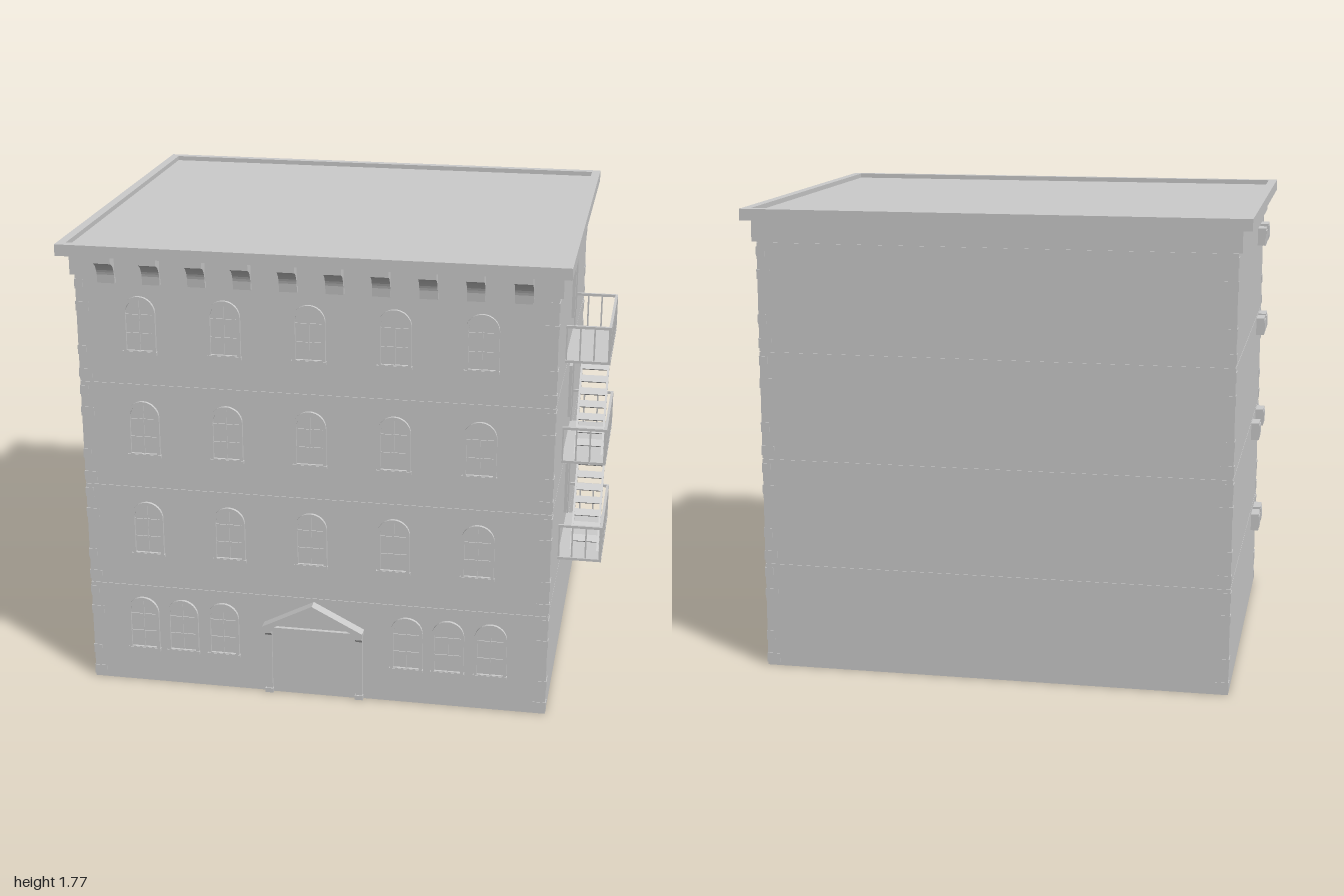
import * as THREE from 'three';

const mat = new THREE.MeshStandardMaterial({ color: 0xcccccc, side: THREE.DoubleSide });
const X0 = -0.95, X1 = 0.83, Z0 = -0.74, Z1 = 0.73;

function add(parent, name, geo) {
  const m = new THREE.Mesh(geo, mat);
  m.name = name;
  parent.add(m);
  return m;
}

// Box given by its two extreme corners
function box(parent, name, x0, x1, y0, y1, z0, z1) {
  const m = add(parent, name, new THREE.BoxGeometry(x1 - x0, y1 - y0, z1 - z0));
  m.position.set((x0 + x1) / 2, (y0 + y1) / 2, (z0 + z1) / 2);
  return m;
}

function group(parent, name, x = 0, y = 0, z = 0) {
  const g = new THREE.Group();
  g.name = name;
  g.position.set(x, y, z);
  parent.add(g);
  return g;
}

const polygon = pts => new THREE.Shape(pts.map(p => new THREE.Vector2(...p)));
const rect = (x0, x1, y0, y1) => polygon([[x0, y0], [x1, y0], [x1, y1], [x0, y1]]);
const extrude = (shape, depth) =>
  new THREE.ExtrudeGeometry(shape, { depth, bevelEnabled: false, curveSegments: 8 });

// Hollow rectangular ring standing on y0, t thick
function ring(parent, name, x0, x1, z0, z1, y0, y1, t) {
  const s = rect(x0, x1, -z1, -z0);
  s.holes.push(rect(x0 + t, x1 - t, -z1 + t, -z0 - t));
  const m = add(parent, name, extrude(s, y1 - y0));
  m.rotation.x = -Math.PI / 2;
  m.position.y = y0;
}

function arch(w, y0, h) {
  const r = w / 2, s = new THREE.Shape();
  s.moveTo(-r, y0);
  s.lineTo(r, y0);
  s.lineTo(r, h - r);
  s.absarc(0, h - r, r, 0, Math.PI, false);
  s.lineTo(-r, y0);
  return s;
}

// Arched window: frame, pane, glazing bars and sill
function windowUnit(parent, x, y, h) {
  const g = group(parent, 'archedWindow', x, y, Z1);
  const frame = arch(0.124, 0, h);
  frame.holes.push(arch(0.1, 0.015, h - 0.012));
  add(g, 'windowFrame', extrude(frame, 0.012));
  add(g, 'windowPane', new THREE.ShapeGeometry(arch(0.102, 0.01, h - 0.01), 8)).position.z = 0.002;
  box(g, 'mullion', -0.002, 0.002, 0.012, h - 0.012, 0.001, 0.007);
  for (const t of [0.36, 0.68]) box(g, 'glazingBar', -0.05, 0.05, h * t - 0.002, h * t + 0.002, 0.001, 0.006);
  box(g, 'windowSill', -0.065, 0.065, 0, 0.012, 0, 0.014);
}

// Curved bracket, profile in z and y, extruded along x
function bracket(parent, name, x, w, z, y0, y1, out) {
  const h = y1 - y0, s = new THREE.Shape();
  s.moveTo(0, y0);
  s.lineTo(out * 0.25, y0);
  s.lineTo(out * 0.3, y0 + h * 0.3);
  s.quadraticCurveTo(out * 0.45, y0 + h * 0.68, out, y0 + h * 0.78);
  s.lineTo(out, y1);
  s.lineTo(0, y1);
  const m = add(parent, name, extrude(s, w));
  m.rotation.y = -Math.PI / 2;
  m.position.set(x + w / 2, 0, z);
}

function buildShell(root) {
  const g = group(root, 'shell');
  const seams = [0, 0.412, 0.825, 1.238, 1.65];
  for (let i = 0; i < 4; i++) {
    ring(g, 'storeyWalls', X0, X1, Z0, Z1, seams[i], seams[i + 1] - 0.004, 0.008);
    ring(g, 'seam', X0 + 0.003, X1 - 0.003, Z0 + 0.003, Z1 - 0.003, seams[i + 1] - 0.004, seams[i + 1], 0.005);
    // Corner stones, alternating long and short, nearly flush with the walls
    [0.03, 0.12, 0.29, 0.375].forEach((dy, k) => {
      const a = k % 2 ? 0.03 : 0.048, b = k % 2 ? 0.048 : 0.03, y = seams[i] + dy;
      for (const sx of [-1, 1]) for (const sz of [-1, 1]) {
        const x = sx < 0 ? X0 : X1, z = sz < 0 ? Z0 : Z1;
        const m = add(g, 'cornerStone', new THREE.BoxGeometry(a + 0.0025, 0.036, b + 0.0025));
        m.position.set(x + sx * (0.00125 - a / 2), y, z + sz * (0.00125 - b / 2));
      }
    });
  }
  ring(g, 'frieze', X0 - 0.014, X1 + 0.014, Z0 - 0.014, Z1 + 0.014, 1.65, 1.735, 0.024);
  ring(g, 'cornice', -1, 0.875, -0.793, 0.793, 1.732, 1.775, 0.034);
  box(g, 'roof', -0.97, 0.845, 1.732, 1.757, -0.763, 0.763);
  for (let i = 0; i < 10; i++) bracket(g, 'corniceBracket', -0.826 + i * 0.1702, 0.066, Z1, 1.625, 1.733, 0.06);
}

function buildEntrance(root) {
  const g = group(root, 'entrance', -0.065, 0, Z1);
  box(g, 'doorPanel', -0.165, 0.165, 0, 0.28, 0, 0.004);
  for (const s of [-1, 1]) {
    const x = s * 0.177;
    box(g, 'doorPost', x - 0.013, x + 0.013, 0, 0.28, 0, 0.014);
    box(g, 'postBase', x - 0.016, x + 0.016, 0, 0.018, 0, 0.019);
    bracket(g, 'postBracket', x, 0.026, 0, 0.22, 0.278, 0.036);
  }
  const outer = polygon([[-0.195, 0.278], [0.195, 0.278], [0.195, 0.295], [0, 0.395], [-0.195, 0.295]]);
  outer.holes.push(polygon([[-0.15, 0.295], [0.15, 0.295], [0, 0.373]]));
  add(g, 'pediment', extrude(outer, 0.045));
  add(g, 'pedimentPanel', extrude(polygon([[-0.16, 0.29], [0.16, 0.29], [0, 0.377]]), 0.03));
}

function buildFireEscape(root) {
  const g = group(root, 'fireEscape');
  const za = -0.102, zb = 0.344, xo = 0.995, r = 0.005;
  [0.48, 0.885, 1.29].forEach((y, level) => {
    box(g, 'landing', X1, xo + r, y - 0.004, y + 0.006, za - r, zb + r);
    // Railings on the outer side and both ends
    const top = y + 0.137;
    box(g, 'outerRail', xo - r, xo + r, top - r, top + r, za - r, zb + r);
    for (let i = 0; i < 7; i++) {
      const z = za + (zb - za) * i / 6;
      box(g, 'baluster', xo - r, xo + r, y, top, z - r, z + r);
    }
    for (const z of [za, zb]) {
      box(g, 'endRail', X1, xo, top - r, top + r, z - r, z + r);
      for (const x of [0.834, 0.885, 0.938]) box(g, 'endBaluster', x - 0.003, x + 0.003, y, top, z - 0.003, z + 0.003);
    }
    // Exit door
    const d = 0.555 + level * 0.411;
    box(g, 'exitDoor', X1, X1 + 0.006, d, d + 0.205, -0.064, 0.054);
    for (const z of [-0.067, 0.057]) box(g, 'exitDoorJamb', X1, X1 + 0.012, d, d + 0.213, z - 0.005, z + 0.005);
    box(g, 'exitDoorHead', X1, X1 + 0.012, d + 0.203, d + 0.213, -0.072, 0.062);
    // Stair up to the next landing, its steps set along the slope
    if (level < 2) {
      const rise = 0.405, run = 0.35, zs = 0.262, len = Math.hypot(rise, run);
      const stair = group(g, 'stair', 0.928, y + rise / 2, zs - run / 2);
      stair.rotation.x = Math.atan2(rise, run);
      for (const x of [-0.052, 0.052]) box(stair, 'stairStringer', x - 0.004, x + 0.004, -0.006, 0.006, -len / 2, len / 2);
      for (let i = 1; i < 10; i++) {
        const z = len * (i / 10 - 0.5);
        box(stair, 'stairTread', -0.052, 0.052, -0.004, 0.004, z - 0.014, z + 0.014);
      }
    }
  });
}

export function createModel() {
  const root = new THREE.Group();
  root.name = 'building';
  buildShell(root);

  // Front windows
  for (const y of [0.54, 0.947, 1.355])
    for (const x of [-0.71, -0.39, -0.073, 0.243, 0.56]) windowUnit(root, x, y, 0.222);
  for (const x of [-0.742, -0.585, -0.423, 0.295, 0.454, 0.617]) windowUnit(root, x, 0.135, 0.225);

  buildEntrance(root);
  buildFireEscape(root);

  // Air conditioners on the left-hand wall: height, then z of each
  for (const [y, ...zs] of [[0.348, 0.465, 0.59], [0.78, 0.31, 0.59], [1.195, 0.465, 0.59], [1.577, 0.405, 0.58]])
    for (const z of zs) {
      box(root, 'airConditioner', -0.982, X0, y - 0.035, y + 0.035, z - 0.045, z + 0.045);
      box(root, 'airConditionerGrille', -0.985, -0.978, y - 0.025, y + 0.025, z - 0.035, z + 0.035);
    }
  return root;
}
